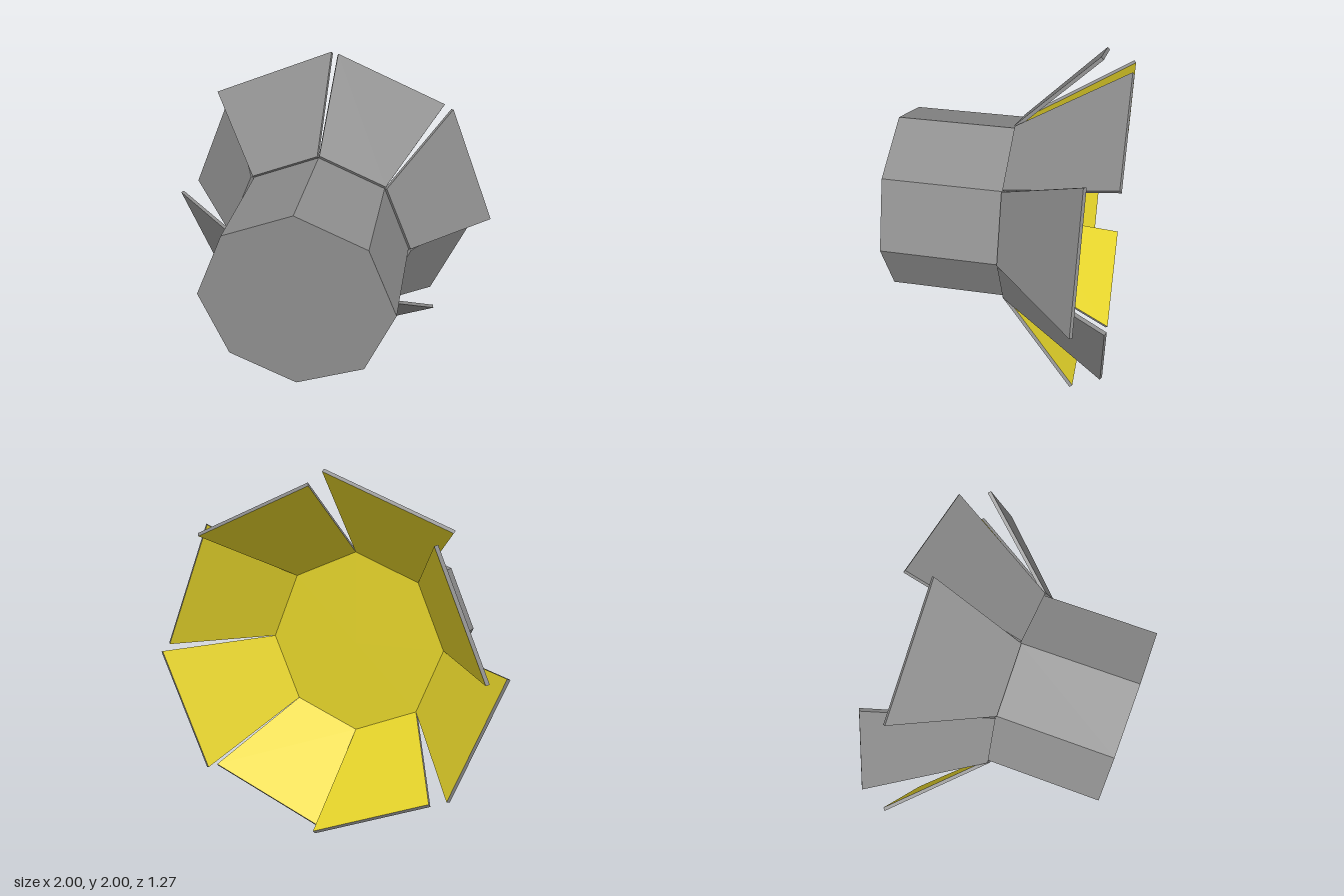
import * as THREE from 'three';

const SIDES = 8;
const STEP = (Math.PI * 2) / SIDES;
const RADIUS = 0.532;  // corner radius of the octagonal body
const FRONT = 0.635;
const BACK = -0.031;
const THICK = 0.02;    // panel thickness

// Flat-shaded mesh from a list of four-cornered faces
function quadMesh(name, quads, material) {
  const pts = quads.flatMap(([a, b, c, d]) => [a, b, c, a, c, d]);
  const geo = new THREE.BufferGeometry().setFromPoints(pts);
  geo.computeVertexNormals();
  const mesh = new THREE.Mesh(geo, material);
  mesh.name = name;
  return mesh;
}

// Trapezoid slab flaring from one body edge, with a coloured inner face
function makePanel(index, tipRadius, tipZ, grey, yellow) {
  const a = index * STEP;
  const corner = (angle, r, z) =>
    new THREE.Vector3(Math.cos(angle) * r, Math.sin(angle) * r, z);
  const inner = [
    corner(a, RADIUS, BACK), corner(a + STEP, RADIUS, BACK),
    corner(a + STEP, tipRadius, tipZ), corner(a, tipRadius, tipZ),
  ];
  // Thicken away from the axis, square to the panel
  const along = inner[1].clone().sub(inner[0]);
  const up = inner[3].clone().sub(inner[0]);
  const offset = up.cross(along).normalize().multiplyScalar(THICK);
  const outer = inner.map((p) => p.clone().add(offset));

  const shell = [[outer[0], outer[3], outer[2], outer[1]]];
  for (let j = 0; j < 4; j++) {
    const k = (j + 1) % 4;
    shell.push([inner[j], outer[j], outer[k], inner[k]]);
  }
  const panel = new THREE.Group();
  panel.name = `flaredPanel${index + 1}`;
  panel.add(quadMesh('panelShell', shell, grey));
  panel.add(quadMesh('panelInnerFace', [inner], yellow));
  return panel;
}

export function createModel() {
  const model = new THREE.Group();
  model.name = 'octagonalFlaredHorn';
  const grey = new THREE.MeshStandardMaterial({ color: 0x8e8e8e, flatShading: true });
  const yellow = new THREE.MeshStandardMaterial({ color: 0xe8d62b, flatShading: true });

  const assembly = new THREE.Group();
  assembly.name = 'assembly';
  assembly.position.y = 1;
  model.add(assembly);

  // Body walls
  const wallGeo = new THREE.CylinderGeometry(RADIUS, RADIUS, FRONT - BACK, SIDES, 1, true);
  wallGeo.rotateX(Math.PI / 2);
  const walls = new THREE.Mesh(wallGeo, grey);
  walls.name = 'bodyWalls';
  walls.position.z = (FRONT + BACK) / 2;

  // Front cap and coloured back cap
  const capGeo = new THREE.CircleGeometry(RADIUS, SIDES);
  const frontCap = new THREE.Mesh(capGeo, grey);
  frontCap.name = 'frontCap';
  frontCap.position.z = FRONT;
  const backCap = new THREE.Mesh(capGeo, yellow);
  backCap.name = 'backCap';
  backCap.position.z = BACK;
  backCap.rotation.y = Math.PI;
  assembly.add(walls, frontCap, backCap);

  // Alternating wide and steep panels around the back rim
  for (let i = 0; i < SIDES; i++) {
    const wide = i % 2 === 0;
    assembly.add(makePanel(i, wide ? 0.986 : 0.919, wide ? -0.474 : -0.635, grey, yellow));
  }
  return model;
}
